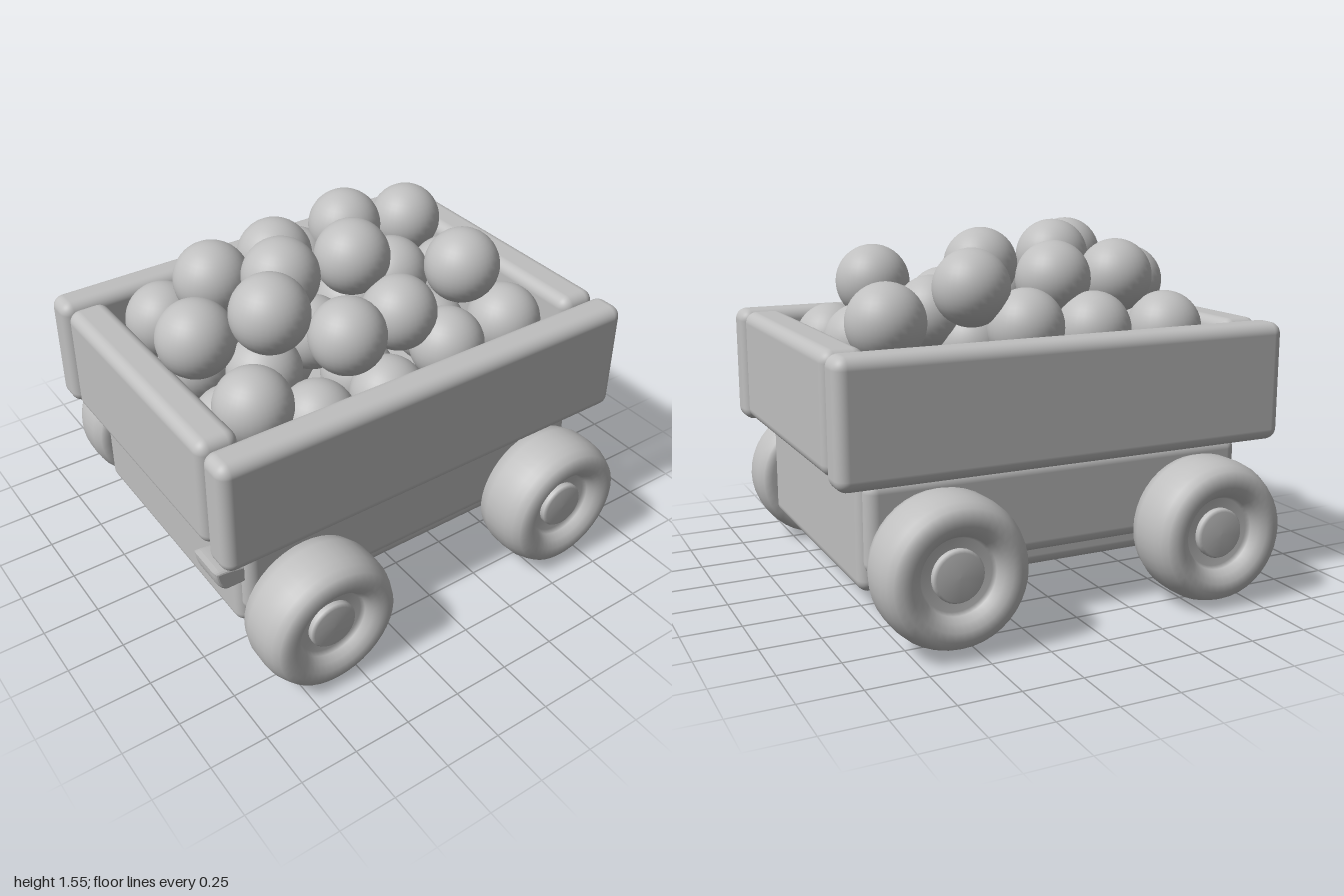
import * as THREE from 'three';
import { RoundedBoxGeometry } from 'three/addons/geometries/RoundedBoxGeometry.js';

export function createModel() {
  const cart = new THREE.Group();
  cart.name = 'ballCart';
  const grey = new THREE.MeshStandardMaterial({ color: 0xbfbfbf });
  grey.name = 'plain grey';

  const add = (name, geometry, x, y, z, parent = cart) => {
    const mesh = new THREE.Mesh(geometry, grey);
    mesh.name = name;
    mesh.position.set(x, y, z);
    parent.add(mesh);
    return mesh;
  };
  const block = (w, h, d, r) => new RoundedBoxGeometry(w, h, d, 5, r);

  // Lower body, slightly fuller along its long sides
  add('lowerBody', block(1.74, 0.48, 1.2, 0.05), 0, 0.43, 0);
  add('bodySides', block(1.7, 0.38, 1.28, 0.05), 0, 0.455, 0);

  // Four boards round the tray
  for (const s of [-1, 1]) {
    add('sideBoard', block(1.99, 0.51, 0.155, 0.05), 0, 0.895, s * 0.668);
    add('endBoard', block(0.18, 0.49, 1.16, 0.05), s * 0.9, 0.905, 0);
  }

  // Wheels: fat tyre with a sunken centre, hub cap and axle stub
  const tyreProfile = [
    [0, 0.04], [0.08, 0.04], [0.18, 0.02], [0.25, 0], [0.285, 0.025], [0.302, 0.08],
    [0.304, 0.15], [0.3, 0.2], [0.288, 0.235], [0.272, 0.268], [0.24, 0.283],
    [0.205, 0.28], [0.175, 0.262], [0.155, 0.235], [0.145, 0.215], [0, 0.215],
  ].map(([r, h]) => new THREE.Vector2(r, h));
  const capProfile = [[0.105, 0.2], [0.105, 0.235], [0.095, 0.248], [0, 0.25]]
    .map(([r, h]) => new THREE.Vector2(r, h));
  const tyre = new THREE.LatheGeometry(tyreProfile, 40);
  const cap = new THREE.LatheGeometry(capProfile, 32);
  const axle = new THREE.CylinderGeometry(0.08, 0.08, 0.2, 24);
  const wheels = [
    [-0.615, 0.307, 0.66, 1], [0.62, 0.32, 0.645, 1],
    [-0.587, 0.32, -0.66, -1], [0.587, 0.325, -0.665, -1],
  ];
  for (const [x, y, z, side] of wheels) {
    const wheel = new THREE.Group();
    wheel.name = 'wheel';
    wheel.position.set(x, y, z);
    wheel.rotation.x = side * Math.PI / 2;
    add('tyre', tyre, 0, 0, 0, wheel);
    add('hubCap', cap, 0, 0, 0, wheel);
    add('axle', axle, 0, -0.03, 0, wheel);
    cart.add(wheel);
  }

  // Small hook at the right end
  const hookShape = new THREE.Shape();
  hookShape.moveTo(-0.84, 0.45);
  hookShape.lineTo(-0.92, 0.45);
  hookShape.quadraticCurveTo(-0.95, 0.46, -0.96, 0.53);
  hookShape.quadraticCurveTo(-0.92, 0.53, -0.84, 0.51);
  const hook = new THREE.ExtrudeGeometry(hookShape, {
    depth: 0.12, bevelEnabled: true, bevelSize: 0.015, bevelThickness: 0.03, bevelSegments: 4,
  });
  add('hook', hook, 0, 0, 0.46);

  // Heaped balls: x, y, z
  const ball = new THREE.SphereGeometry(0.163, 32, 20);
  const heap = [
    [-0.64, 1.1, -0.36], [-0.48, 1.32, -0.2], [-0.27, 1.12, -0.38], [-0.16, 1.325, -0.22],
    [0.05, 1.15, -0.38], [0.26, 1.315, -0.3], [0.66, 1.205, -0.37], [-0.715, 1.26, 0.08],
    [-0.3, 1.395, 0.055], [0.06, 1.37, 0.045], [0.32, 1.18, -0.02], [0.64, 1.08, -0.03],
    [-0.48, 1.385, 0.26], [-0.17, 1.215, 0.345], [0.145, 1.18, 0.27], [0.485, 1.295, 0.26],
    [-0.64, 1.08, 0.38], [0.64, 1.03, 0.38], [0.32, 1.02, 0.385],
  ];
  // Balls buried in the pile
  const buried = [
    [0.0, 0.9, 0.4], [-0.34, 0.9, 0.38], [0.42, 0.85, 0.37], [0.12, 0.9, -0.38],
    [0.68, 0.9, -0.4], [-0.46, 0.9, -0.34], [-0.62, 1.0, -0.12], [0.58, 0.92, -0.17],
    [0.16, 1.05, -0.1], [-0.13, 1.05, 0.02], [-0.42, 1.0, 0.1], [0.0, 0.88, 0.18],
    [0.42, 0.95, 0.14], [-0.62, 0.85, 0.15], [0.38, 0.85, -0.3], [-0.2, 0.85, -0.15],
  ];
  for (const [x, y, z] of [...heap, ...buried]) add('ball', ball, x, y, z);

  return cart;
}
